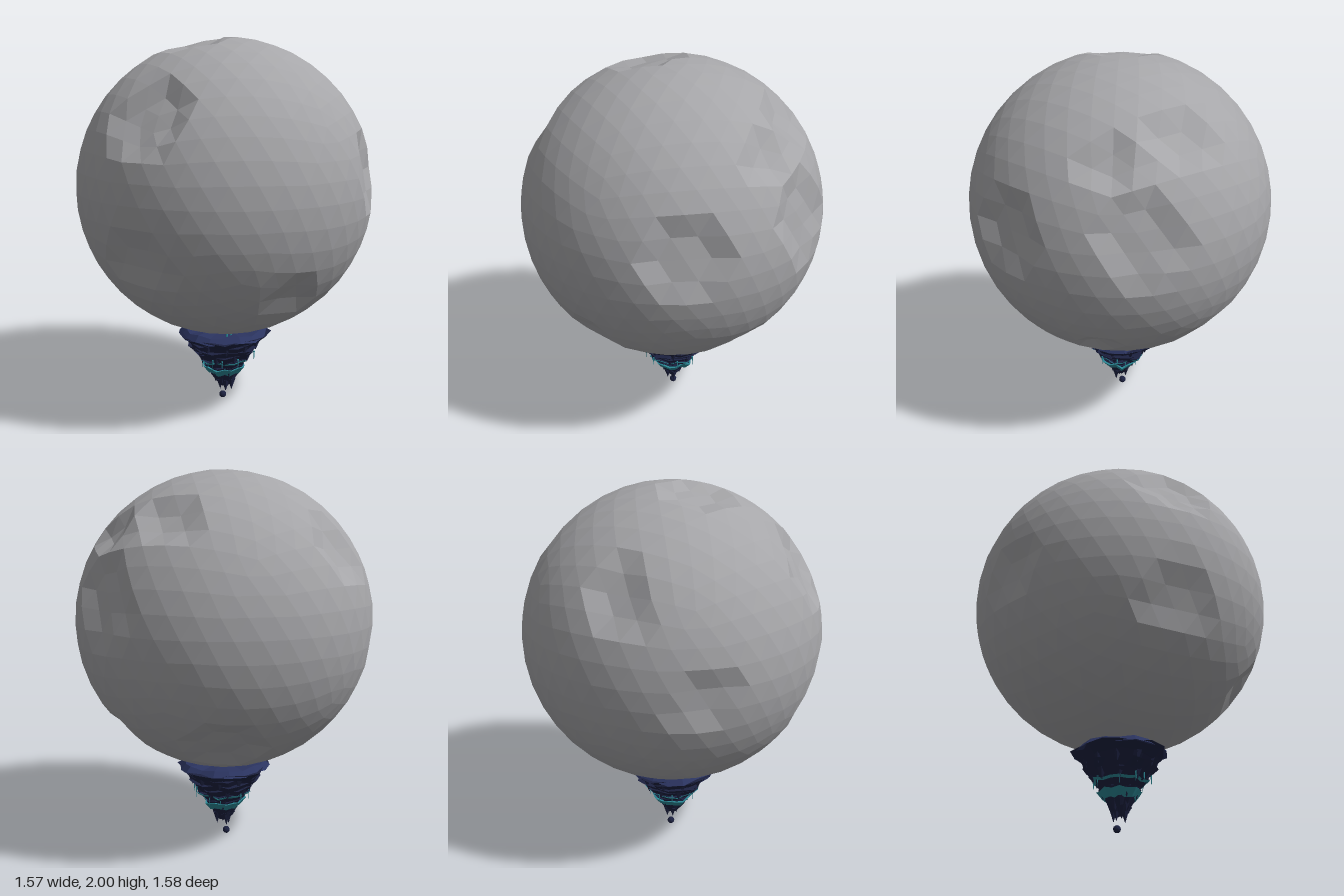
import * as THREE from 'three';

const stone = new THREE.MeshStandardMaterial({ color: 0xa6a6a9 });
const navy = new THREE.MeshStandardMaterial({ color: 0x1c2140 });
const indigo = new THREE.MeshStandardMaterial({ color: 0x2b3460 });
const teal = new THREE.MeshStandardMaterial({ color: 0x2b8795 });

const BALL_Y = 1.212, BALL_R = 0.788;

// Crater directions with angular radius and depth
const craters = [
  [0.51, 0.17, 0.84, 0.26, 0.05], [-0.19, -0.61, 0.77, 0.18, 0.03],
  [0.96, 0.2, 0.12, 0.28, 0.045], [0.75, 0.62, 0.26, 0.17, 0.04],
  [0.7, 0.68, -0.16, 0.22, 0.045], [0.62, -0.7, 0.34, 0.15, 0.06],
  [0.51, -0.72, -0.47, 0.25, 0.04], [-0.1, 0.5, -0.86, 0.22, 0.045],
  [-0.81, 0.52, 0.22, 0.27, 0.05], [-0.63, -0.08, -0.77, 0.2, 0.035],
  [-0.22, 0.96, -0.05, 0.24, 0.04], [-0.9, -0.33, 0.2, 0.24, 0.035],
].map(([x, y, z, radius, depth]) => ({ dir: new THREE.Vector3(x, y, z).normalize(), radius, depth }));

// Splits the faces so that every facet is flat
function faceted(geometry) {
  const g = geometry.index ? geometry.toNonIndexed() : geometry;
  g.computeVertexNormals();
  return g;
}

function add(parent, name, geometry, material, x = 0, y = 0, z = 0) {
  const mesh = new THREE.Mesh(faceted(geometry), material);
  mesh.name = name;
  mesh.position.set(x, y, z);
  parent.add(mesh);
  return mesh;
}

// Icosphere with a vertex at the pole, pushed in at the craters
function moonGeometry() {
  const g = new THREE.IcosahedronGeometry(1, 7);
  g.rotateX(-Math.atan((1 + Math.sqrt(5)) / 2));
  const p = g.attributes.position, v = new THREE.Vector3();
  for (let i = 0; i < p.count; i++) {
    v.fromBufferAttribute(p, i).normalize();
    let push = 0;
    for (const c of craters) {
      const t = v.angleTo(c.dir) / c.radius;
      push = Math.max(push, c.depth * (1 - THREE.MathUtils.smoothstep(t, 0.6, 1)));
    }
    v.multiplyScalar(BALL_R - push);
    p.setXYZ(i, v.x, v.y, v.z);
  }
  return g;
}

// Rough rock ring between two heights, wobbling around its axis
function rockRing(y0, r0, y1, r1, seed, wobble = 0.08, open = false) {
  const g = new THREE.CylinderGeometry(r1, r0, y1 - y0, 18, 1, open);
  const p = g.attributes.position;
  for (let i = 0; i < p.count; i++) {
    const x = p.getX(i), y = p.getY(i), z = p.getZ(i);
    const a = Math.atan2(z, x);
    const k = 1 + wobble * (Math.sin(5 * a + seed * 2.3) * 0.6 + Math.sin(8 * a + seed) * 0.4);
    const lift = Math.hypot(x, z) > 0.001 ? 0.006 * Math.sin(7 * a + seed * 1.7) : 0;
    p.setXYZ(i, x * k, y + lift + (y0 + y1) / 2, z * k * 0.94);
  }
  return g;
}

export function createModel() {
  const model = new THREE.Group();
  add(model, 'crateredMoon', moonGeometry(), stone, 0, BALL_Y, 0);

  const base = new THREE.Group();
  base.name = 'hangingRock';
  model.add(base);

  // Rim with a lighter top
  add(base, 'rockRim', rockRing(0.398, 0.255, 0.428, 0.225, 0, 0.04), indigo);

  // Stepped tiers: [bottom y, bottom radius, top y, top radius]
  const tiers = [
    [0.355, 0.195, 0.405, 0.258], [0.32, 0.175, 0.365, 0.213], [0.285, 0.15, 0.332, 0.205],
    [0.25, 0.13, 0.295, 0.17], [0.21, 0.1, 0.26, 0.15], [0.165, 0.075, 0.215, 0.115],
    [0.12, 0.05, 0.17, 0.085], [0.085, 0.025, 0.13, 0.06],
  ];
  tiers.forEach(([y0, r0, y1, r1], i) => add(base, 'rockTier', rockRing(y0, r0, y1, r1, i + 1), navy));

  // Glowing crystal bands
  add(base, 'crystalBand', rockRing(0.165, 0.088, 0.205, 0.12, 6, 0.12), teal);
  add(base, 'crystalSeam', rockRing(0.245, 0.14, 0.256, 0.15, 5, 0.1), teal);

  // Downward rock spikes under the tiers and at the tip
  const spike = (name, x, y, z, r, h, material) => {
    add(base, name, new THREE.ConeGeometry(r, h, 5), material, x, y, z).rotation.x = Math.PI;
  };
  for (const [y, r, n] of [[0.34, 0.19, 11], [0.27, 0.145, 9], [0.19, 0.09, 7], [0.13, 0.05, 5]]) {
    for (let i = 0; i < n; i++) {
      const a = (i / n) * Math.PI * 2 + y * 20;
      spike('rockSpike', Math.cos(a) * r, y, Math.sin(a) * r * 0.94, 0.025, 0.06, navy);
    }
  }
  for (const [x, z] of [[0.025, 0.03], [-0.015, 0.025], [0.015, -0.03], [-0.015, -0.02]]) {
    spike('tipSpike', x, 0.09, z, 0.024, 0.07, navy);
  }

  // Thin teal drips
  for (let i = 0; i < 10; i++) {
    const a = i * 2.4, r = 0.12 + 0.055 * ((i * 0.618) % 1);
    spike('crystalDrip', Math.cos(a) * r, 0.12 + r * 0.85, Math.sin(a) * r, 0.005, 0.06, teal);
  }

  // Small sprouts on the rim
  for (const x of [-0.11, -0.08]) {
    add(base, 'rimSprout', new THREE.ConeGeometry(0.008, 0.03, 5), teal, x, 0.442, 0.14);
  }

  // Loose pebble below the tip
  add(base, 'loosePebble', new THREE.IcosahedronGeometry(0.02, 1), navy, 0, 0.02, -0.015);
  return model;
}
